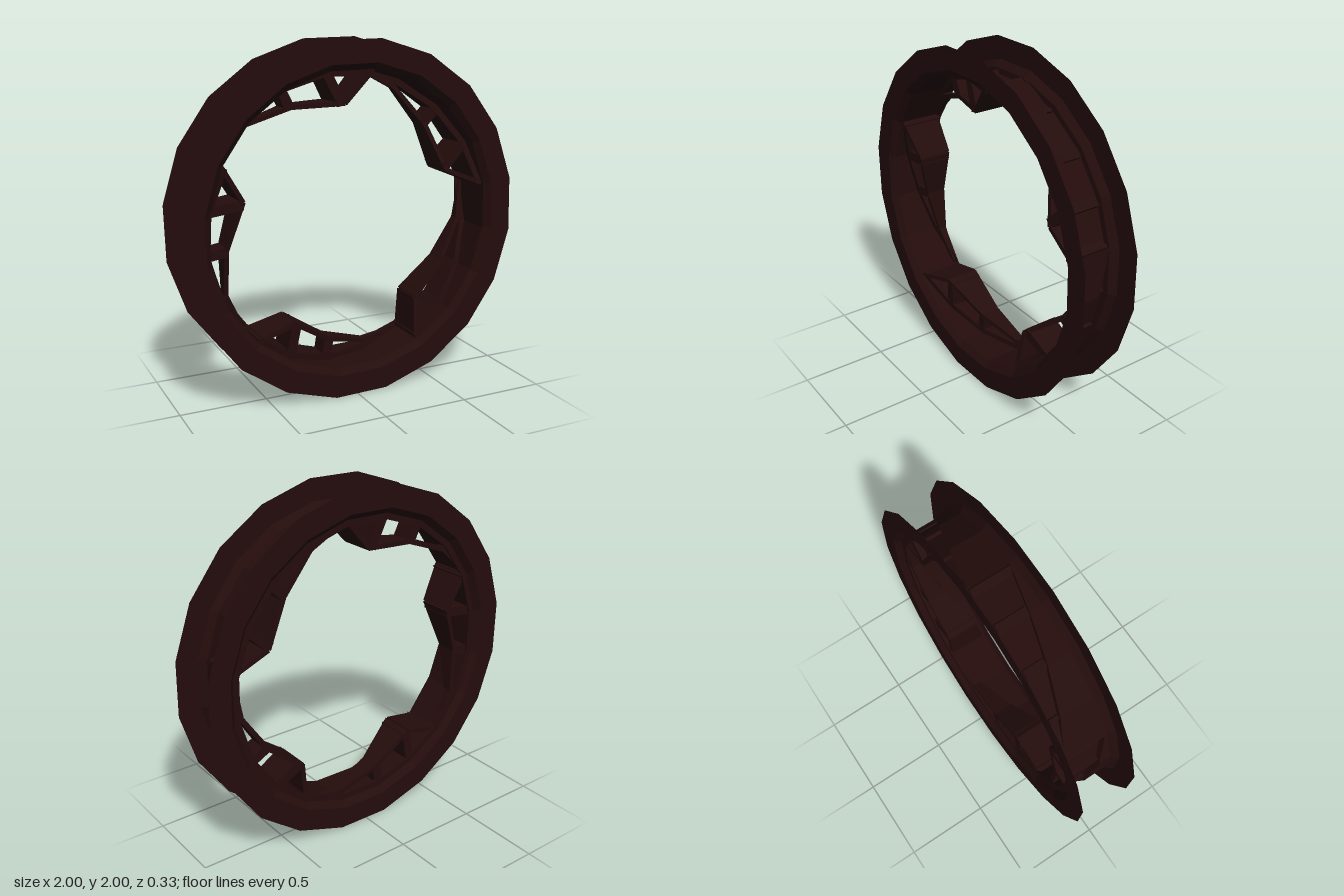
import * as THREE from 'three';

const DEG = Math.PI / 180;
const START = 10.3 * DEG;     // angle of the first polygon corner
const BLADES = 5, SIDES = 20, FACETS = SIDES / BLADES;
const SWEEP = 2 * Math.PI / BLADES;
const Z_BACK = -0.13, Z_FRONT = 0.12;

// Each blade tapers from full width at its start to nothing at its end
const edgeZ = (t) => Z_FRONT + (Z_BACK - Z_FRONT) * t;
const polar = (r, deg) => new THREE.Vector2(Math.cos(deg * DEG) * r, Math.sin(deg * DEG) * r);

// Faceted inner wall: bevelled rims, with a tapering raised step under every blade
function wallGeometry() {
  const rows = [];
  for (let b = 0; b < BLADES; b++) {
    for (let i = 0; i <= FACETS; i++) {
      const a = START + b * SWEEP + i * SWEEP / FACETS;
      const z = edgeZ(i / FACETS);
      const profile = [[0.88, -0.165], [0.845, Z_BACK], [0.81, Z_BACK], [0.81, z], [0.845, z], [0.845, 0.13], [0.88, 0.165]];
      rows.push(profile.map(([r, pz]) => [Math.cos(a) * r, Math.sin(a) * r, pz]));
    }
  }
  const pos = [];
  rows.forEach((row, i) => {
    const next = rows[(i + 1) % rows.length];
    for (let j = 0; j < row.length - 1; j++) {
      const [p, q, s, t] = [row[j], row[j + 1], next[j + 1], next[j]];
      pos.push(...p, ...q, ...s, ...p, ...s, ...t);
    }
  });
  const g = new THREE.BufferGeometry();
  g.setAttribute('position', new THREE.Float32BufferAttribute(pos, 3));
  g.computeVertexNormals();
  return g;
}

// Bar from a to b, running from the back plane to front depths za and zb
function slab(a, b, thick, za, zb) {
  const g = new THREE.BoxGeometry(1, 1, 1);
  const p = g.attributes.position;
  const dir = b.clone().sub(a).normalize();
  for (let i = 0; i < p.count; i++) {
    const end = p.getX(i) > 0;
    const c = end ? b : a;
    const off = p.getY(i) * thick;
    const z = p.getZ(i) > 0 ? (end ? zb : za) : Z_BACK + 0.01;
    p.setXYZ(i, c.x - dir.y * off, c.y + dir.x * off, Math.max(z, Z_BACK + 0.01 + p.getZ(i) * 0.01));
  }
  g.computeVertexNormals();
  return g;
}

export function createModel() {
  const model = new THREE.Group();
  model.name = 'bladedRing';
  const darkMaroon = new THREE.MeshStandardMaterial({ color: 0x240c0c, side: THREE.DoubleSide });
  darkMaroon.name = 'darkMaroon';

  const add = (parent, name, geometry) => {
    const mesh = new THREE.Mesh(geometry, darkMaroon);
    mesh.name = name;
    parent.add(mesh);
    return mesh;
  };

  const ring = new THREE.Group();
  ring.name = 'ring';
  ring.position.y = 1;
  model.add(ring);

  add(ring, 'innerWall', wallGeometry());

  // Flat flanges on both sides
  for (const side of [1, -1]) {
    const g = new THREE.RingGeometry(0.88, 1.009, SIDES);
    if (side < 0) g.rotateX(Math.PI);
    g.rotateZ(START);
    add(ring, side > 0 ? 'frontFlange' : 'backFlange', g).position.z = 0.165 * side;
  }

  // Open-framed blades: [radius, degrees] along the inner rail
  const rail = [[0.84, 0.2], [0.655, 11.3], [0.715, 34.7], [0.795, 54.7], [0.845, 72]];
  // Struts: [outer degrees, inner radius, inner degrees, thickness]
  const struts = [[17.3, 0.65, 12.6, 0.055], [35.1, 0.71, 35.2, 0.055], [54.2, 0.79, 54.6, 0.025]];
  for (let b = 0; b < BLADES; b++) {
    const blade = new THREE.Group();
    blade.name = 'blade' + (b + 1);
    blade.rotation.z = START + b * SWEEP;
    for (let i = 0; i < rail.length - 1; i++) {
      const [r0, d0] = rail[i], [r1, d1] = rail[i + 1];
      add(blade, 'rail', slab(polar(r0, d0), polar(r1, d1), 0.026, edgeZ(d0 / 72), edgeZ(d1 / 72)));
    }
    for (const [outer, r, inner, thick] of struts) {
      add(blade, 'strut', slab(polar(0.825, outer), polar(r, inner), thick, edgeZ(outer / 72), edgeZ(inner / 72)));
    }
    ring.add(blade);
  }
  return model;
}
